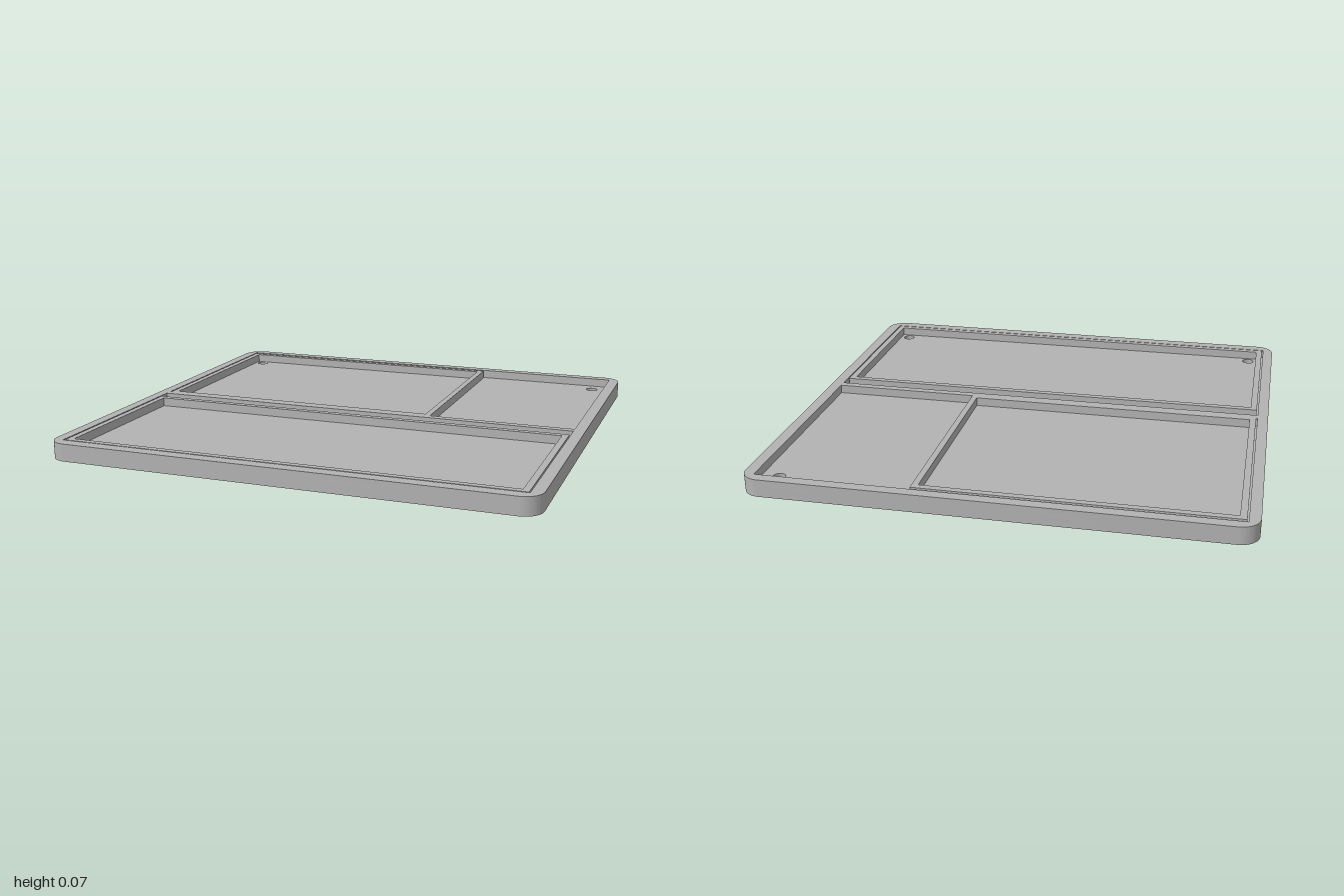
import * as THREE from 'three';
import { toCreasedNormals } from 'three/addons/utils/BufferGeometryUtils.js';

const HEIGHT = 0.073, FLOOR = 0.036;

// Path through [x, z] points
const poly = (Type, pts) => new Type(pts.map(([x, z]) => new THREE.Vector2(x, z)));
const rect = (Type, x0, x1, z0, z1) => poly(Type, [[x0, z0], [x1, z0], [x1, z1], [x0, z1]]);

// Tray outline with rounded corners
function outline() {
  const w = 1, d = 0.96, r = 0.08, s = new THREE.Shape();
  s.absarc(w - r, d - r, r, 0, Math.PI / 2);
  s.absarc(-w + r, d - r, r, Math.PI / 2, Math.PI);
  s.absarc(-w + r, -d + r, r, Math.PI, Math.PI * 1.5);
  s.absarc(w - r, -d + r, r, Math.PI * 1.5, Math.PI * 2);
  s.closePath();
  return s;
}

// Upright slab from an x-z shape, between two heights
function slab(name, shape, y0, y1, material) {
  const geo = new THREE.ExtrudeGeometry(shape, { depth: y1 - y0, bevelEnabled: false, curveSegments: 12 });
  geo.rotateX(Math.PI / 2).translate(0, y1, 0);
  const mesh = new THREE.Mesh(toCreasedNormals(geo, 0.6), material);
  mesh.name = name;
  return mesh;
}

export function createModel() {
  const group = new THREE.Group();
  group.name = 'compartmentTray';
  const grey = new THREE.MeshStandardMaterial({ color: 0xb3b3b3 });
  grey.name = 'grey';

  // Floor with four screw holes
  const floor = outline();
  for (const x of [-0.885, 0.88]) {
    for (const z of [-0.843, 0.841]) {
      floor.holes.push(new THREE.Path().absarc(x, z, 0.026, 0, Math.PI * 2, true));
    }
  }
  group.add(slab('floor', floor, 0, FLOOR, grey));

  // Rim, divider bar and back frame, cut from one layer
  const rim = outline();
  rim.holes.push(
    // back right compartment, with the thin groove round the back frame
    poly(THREE.Path, [
      [-0.955, 0.037], [-0.955, -0.914], [0.952, -0.914], [0.952, 0.037],
      [0.322, 0.037], [0.322, -0.899], [-0.949, -0.899], [-0.949, 0.037],
    ]),
    // back left pocket
    rect(THREE.Path, -0.922, 0.296, -0.872, 0.016),
    // front recess
    rect(THREE.Path, -0.955, 0.952, 0.071, 0.909),
  );
  group.add(slab('rimAndDivider', rim, FLOOR, HEIGHT, grey));

  // Loose frame standing in the front recess
  const frame = rect(THREE.Shape, -0.949, 0.947, 0.128, 0.904);
  frame.holes.push(rect(THREE.Path, -0.922, 0.92, 0.156, 0.877));
  group.add(slab('frontFrame', frame, FLOOR, HEIGHT, grey));

  return group;
}
